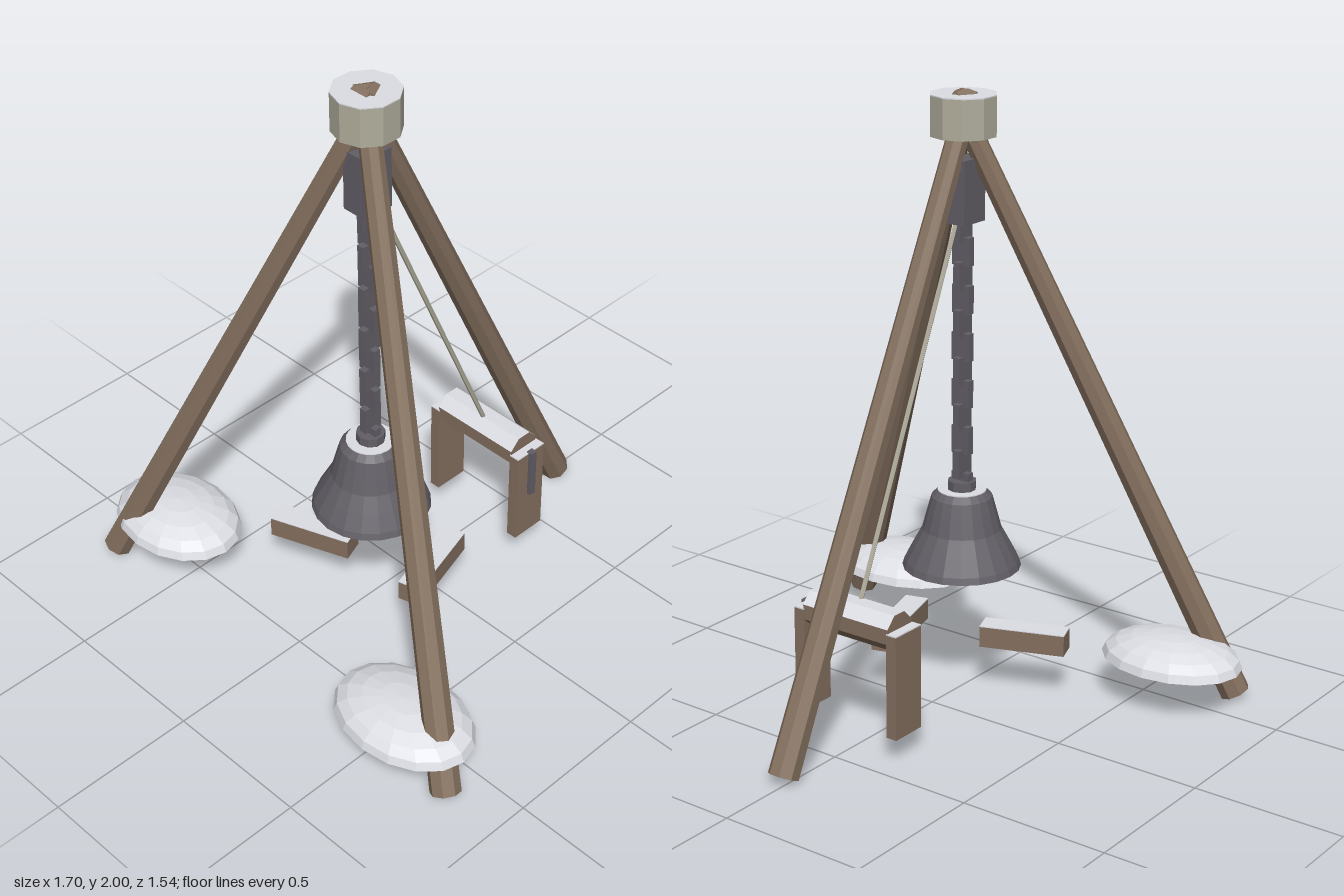
import * as THREE from 'three';

const mat = (name, color, extra = {}) => {
  const m = new THREE.MeshStandardMaterial({ color, flatShading: true, ...extra });
  m.name = name;
  return m;
};

export function createModel() {
  const wood = mat('wood', 0x84705f);
  const metal = mat('dark iron', 0x625f66);
  const ironShell = mat('bell iron', 0x625f66, { side: THREE.DoubleSide });
  const rope = mat('rope', 0xb0ad9c);
  const snow = mat('snow', 0xdcdee4);

  const model = new THREE.Group();
  model.name = 'tripodBell';
  const CX = 0.015, CZ = 0.18; // tripod axis

  const add = (name, geo, material, x = 0, y = 0, z = 0, parent = model) => {
    const m = new THREE.Mesh(geo, material);
    m.name = name;
    m.position.set(x, y, z);
    parent.add(m);
    return m;
  };
  const box = (name, w, h, d, material, x, y, z, parent) =>
    add(name, new THREE.BoxGeometry(w, h, d), material, x, y, z, parent);

  // Tapered pole between two points
  const pole = (name, a, b, ra, rb, sides, material) => {
    const dir = b.clone().sub(a);
    const geo = new THREE.CylinderGeometry(rb, ra, dir.length(), sides, 1, false, Math.PI / sides);
    const m = add(name, geo, material);
    m.position.copy(a).lerp(b, 0.5);
    // lean about a horizontal axis, then turn, so one flat face points outward
    m.rotation.order = 'YXZ';
    m.rotation.y = Math.atan2(dir.x, dir.z);
    m.rotation.x = Math.atan2(Math.hypot(dir.x, dir.z), dir.y);
    return m;
  };

  // Three legs crossing just under the top
  ['backLeg', 'leftLeg', 'rightLeg'].forEach((name, i) => {
    const a = Math.PI + i * Math.PI * 2 / 3;
    const at = (r, y) => new THREE.Vector3(CX + Math.sin(a) * r, y, CZ + Math.cos(a) * r);
    pole(name, at(0.907, 0.023), at(-0.033, 1.985), 0.05, 0.035, 8, wood);
  });

  // Binding round the leg tops with snow on it
  add('topBinding', new THREE.CylinderGeometry(0.108, 0.108, 0.127, 10), rope, CX, 1.918, CZ);
  add('bindingSnow', new THREE.CylinderGeometry(0.108, 0.108, 0.004, 10), snow, CX, 1.983, CZ);

  // Pulley block and hauling rope
  box('pulleyBlock', 0.09, 0.205, 0.11, metal, CX, 1.683, CZ);
  pole('haulingRope', new THREE.Vector3(CX, 1.6, 0.15), new THREE.Vector3(CX, 0.46, -0.353),
    0.008, 0.008, 6, rope);

  // Chain of flat links, every other one turned a quarter
  const chain = new THREE.Group();
  chain.name = 'chain';
  model.add(chain);
  for (let i = 0; i < 12; i++) {
    const link = box('chainLink', 0.025, 0.092, 0.068, metal, CX, 1.565 - i * 0.0782, CZ, chain);
    if (i % 2) link.rotation.y = Math.PI / 2;
  }

  // Bell: outer and inner wall in one profile
  const profile = [
    [0, 0.69], [0.08, 0.69], [0.1, 0.67], [0.114, 0.62], [0.13, 0.56], [0.16, 0.505],
    [0.188, 0.452], [0.195, 0.43], [0.172, 0.43], [0.14, 0.5], [0.112, 0.56], [0.09, 0.65], [0, 0.67],
  ].reverse().map(([x, y]) => new THREE.Vector2(x, y));
  add('bell', new THREE.LatheGeometry(profile, 20), ironShell, CX, 0, CZ);
  add('bellSnow', new THREE.CylinderGeometry(0.08, 0.08, 0.004, 20), snow, CX, 0.691, CZ);
  add('bellCrown', new THREE.CylinderGeometry(0.047, 0.047, 0.036, 10), metal, CX, 0.706, CZ);
  add('clapperRod', new THREE.CylinderGeometry(0.008, 0.008, 0.2, 6), metal, CX, 0.565, CZ);
  add('clapperBall', new THREE.SphereGeometry(0.027, 10, 8), metal, CX, 0.46, CZ);

  // Winch: two posts, eight-sided drum, snow on top, crank on the left
  const winch = new THREE.Group();
  winch.name = 'winch';
  winch.position.set(CX, 0, -0.365);
  model.add(winch);
  for (const s of [-1, 1]) {
    box('winchPost', 0.038, 0.343, 0.126, wood, s * 0.183, 0.2565, 0, winch);
    box('postSnow', 0.038, 0.004, 0.126, snow, s * 0.183, 0.43, 0, winch);
  }
  const R = 0.0645;
  add('winchDrum', new THREE.CylinderGeometry(R, R, 0.336, 8, 1, false, Math.PI / 8),
    wood, 0, 0.42, 0, winch).rotation.z = Math.PI / 2;
  add('drumSnow', new THREE.CylinderGeometry(R + 0.002, R + 0.002, 0.336, 3, 1, true,
    Math.PI / 8, Math.PI * 0.75), snow, 0, 0.42, 0, winch).rotation.z = Math.PI / 2;
  box('crank', 0.022, 0.18, 0.025, metal, 0.205, 0.345, 0, winch);

  // Loose timber blocks with snowy tops: x, z, length, turn
  for (const [x, z, len, turn] of [[0.198, 0.084, 0.31, -1.287], [-0.195, 0.244, 0.285, 0.355]]) {
    const block = new THREE.Group();
    block.name = 'timberBlock';
    block.position.set(x, 0, z);
    // the long side runs along local x
    block.rotation.y = turn === 0.355 ? turn : Math.PI + turn;
    model.add(block);
    box('timber', len, 0.07, 0.08, wood, 0, 0.2, 0, block);
    box('timberSnow', len, 0.004, 0.08, snow, 0, 0.236, 0, block);
  }

  // Snow mounds round the front feet: x, z, half width, half depth
  for (const [x, z, rx, rz] of [[-0.612, 0.487, 0.243, 0.187], [0.58, 0.592, 0.256, 0.182]]) {
    const mound = new THREE.Group();
    mound.name = 'snowMound';
    mound.position.set(x, 0.15, z);
    mound.scale.set(rx, 0.088, rz);
    model.add(mound);
    add('moundDome', new THREE.SphereGeometry(1, 16, 5, 0, Math.PI * 2, 0, Math.PI / 2), snow, 0, 0, 0, mound);
    add('moundBase', new THREE.CircleGeometry(1, 16), snow, 0, 0, 0, mound).rotation.x = Math.PI / 2;
  }

  return model;
}
